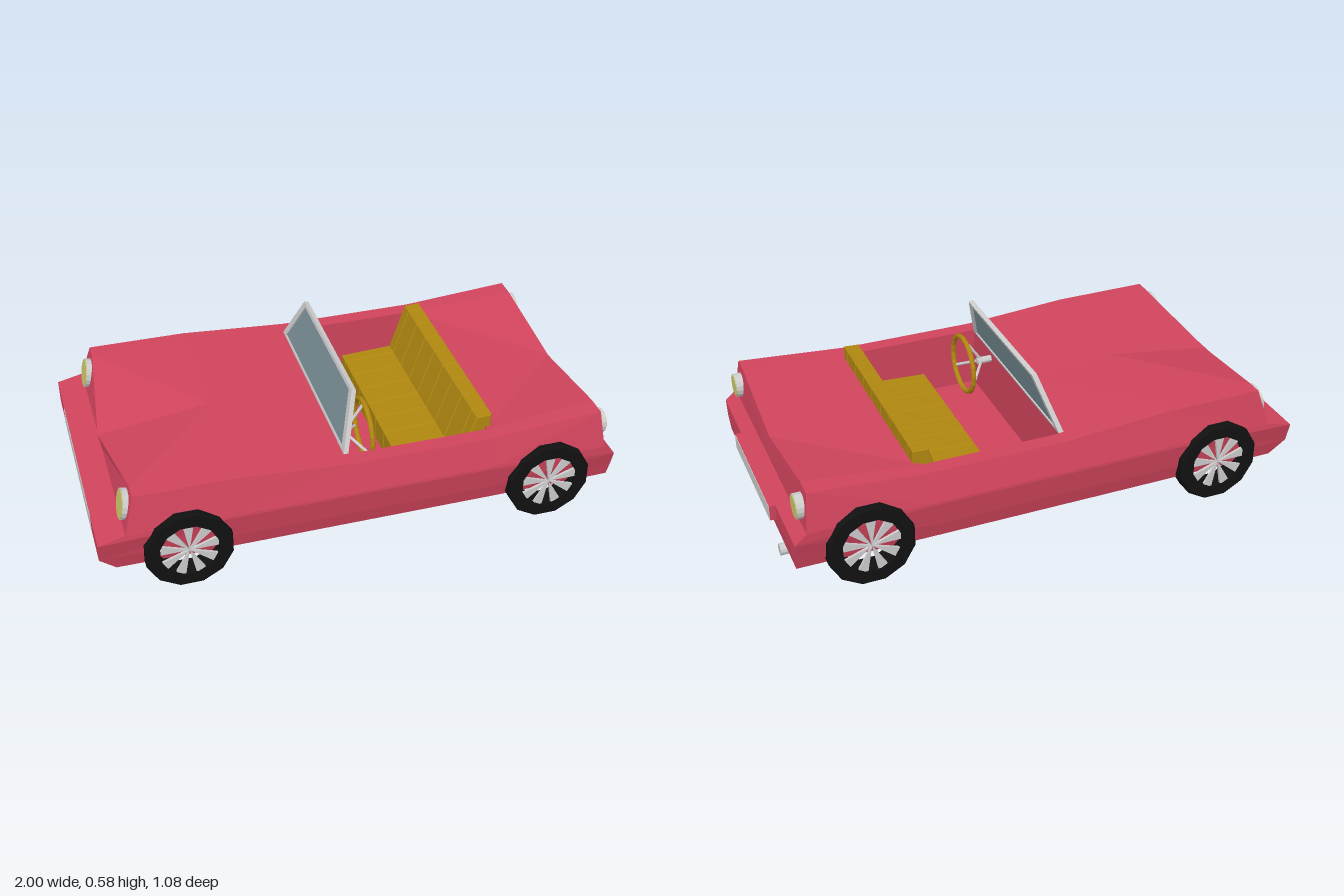
import * as THREE from 'three';

const mat = (color, extra = {}) => new THREE.MeshStandardMaterial({ color, flatShading: true, ...extra });
const RED = mat(0xd0445c, { side: THREE.DoubleSide });
const GREY = mat(0xcccccc);
const BLACK = mat(0x111111);
const MUSTARD = mat(0xaf8710);
const LENS = mat(0xccc870);
const GLASS = mat(0x7c9298);

function add(parent, name, geometry, material, x = 0, y = 0, z = 0) {
  const mesh = new THREE.Mesh(geometry, material);
  mesh.name = name;
  mesh.position.set(x, y, z);
  parent.add(mesh);
  return mesh;
}

// Cylinder between two points
function rod(parent, name, a, b, r, material, sides = 8) {
  const from = new THREE.Vector3(...a), to = new THREE.Vector3(...b);
  const dir = to.clone().sub(from);
  const mesh = add(parent, name, new THREE.CylinderGeometry(r, r, dir.length(), sides), material);
  mesh.position.copy(from).add(to).multiplyScalar(0.5);
  mesh.quaternion.setFromUnitVectors(new THREE.Vector3(0, 1, 0), dir.normalize());
}

// Body shell: half sections along the car, mirrored in z, with an open tub
function bodyGeometry() {
  const pos = [];
  const tri = (a, b, c) => {
    pos.push(...a, ...b, ...c);
    for (const p of [a, c, b]) pos.push(p[0], p[1], -p[2]);
  };
  const quad = (a, b, c, d) => { tri(a, b, c); tri(a, c, d); };
  const mid = (p) => [p[0], p[1], 0];

  // Levels: bottom, sill, waist, ledge, shoulder, crest, deck centre
  const plain = (x, top, centre) => [
    [x, 0.11, 0.495], [x, 0.17, 0.51], [x, 0.265, 0.525], [x, 0.275, 0.524],
    [x, top, 0.49], [x, top, 0.43], [x, centre, 0]];
  const sections = [
    [[-0.94, 0.11, 0.49], [-1, 0.17, 0.505], [-1, 0.25, 0.525], [-0.9, 0.275, 0.522],
      [-0.86, 0.415, 0.49], [-0.86, 0.415, 0.43], [-0.91, 0.34, 0]],
    plain(-0.48, 0.413, 0.4),
    plain(-0.06, 0.383, 0.383),
    plain(0.48, 0.383, 0.38),
    [[0.97, 0.11, 0.49], [0.975, 0.17, 0.505], [0.975, 0.23, 0.522], [0.93, 0.27, 0.522],
      [0.913, 0.415, 0.49], [0.913, 0.415, 0.41], [0.92, 0.355, 0]]];

  for (let s = 0; s < 4; s++) {
    const a = sections[s], b = sections[s + 1];
    for (let i = 0; i < 6; i++) {
      if (s === 2 && i === 5) continue; // cockpit opening
      quad(a[i], b[i], b[i + 1], a[i + 1]);
    }
    quad(mid(a[0]), mid(b[0]), b[0], a[0]); // underside
  }

  // Nose and tail
  for (const [s, flip] of [[sections[0], true], [sections[4], false]]) {
    const face = (a, b, c) => (flip ? tri(a, c, b) : tri(a, b, c));
    for (let i = 0; i < 3; i++) {
      face(mid(s[i]), s[i + 1], s[i]);
      face(mid(s[i]), mid(s[i + 1]), s[i + 1]);
    }
    for (let i = 3; i < 6; i++) face(mid(s[3]), s[i + 1], s[i]);
  }

  // Cockpit tub
  const x0 = -0.06, x1 = 0.48, top = 0.383, floor = 0.14, w = 0.43;
  quad([x0, top, w], [x1, top, w], [x1, floor, w], [x0, floor, w]);
  quad([x0, floor, w], [x1, floor, w], [x1, floor, 0], [x0, floor, 0]);
  quad([x0, top, w], [x0, floor, w], [x0, floor, 0], [x0, top, 0]);
  quad([x1, top, w], [x1, top, 0], [x1, floor, 0], [x1, floor, w]);

  const geo = new THREE.BufferGeometry();
  geo.setAttribute('position', new THREE.Float32BufferAttribute(pos, 3));
  geo.computeVertexNormals();
  return geo;
}

function makeWheel(x, side) {
  const wheel = new THREE.Group();
  wheel.name = 'wheel';
  // Tyre ring
  const profile = [[0.11, -0.04], [0.165, -0.04], [0.165, 0.034], [0.158, 0.04], [0.11, 0.04], [0.11, -0.04]]
    .map(([r, h]) => new THREE.Vector2(r, h));
  const tyre = new THREE.LatheGeometry(profile, 12).rotateX(Math.PI / 2).rotateZ(Math.PI / 12);
  add(wheel, 'tyre', tyre, mat(0x111111, { side: THREE.DoubleSide }));
  // Wedge spokes
  const half = Math.PI / 18, r = 0.113;
  const wedge = new THREE.Shape([
    new THREE.Vector2(0, 0),
    new THREE.Vector2(r * Math.cos(half), -r * Math.sin(half)),
    new THREE.Vector2(r * Math.cos(half), r * Math.sin(half))]);
  const spoke = new THREE.ExtrudeGeometry(wedge, { depth: 0.01, bevelEnabled: false });
  for (let i = 0; i < 9; i++) {
    add(wheel, 'wheelSpoke', spoke, GREY, 0, 0, 0.026).rotation.z = i * Math.PI * 2 / 9 + Math.PI / 2;
  }
  wheel.position.set(x, 0.166, side * 0.5);
  if (side < 0) wheel.rotation.y = Math.PI;
  return wheel;
}

function makeLamp(name, x, y, z, radius, tilt) {
  const lamp = new THREE.Group();
  lamp.name = name;
  add(lamp, 'lampHousing', new THREE.CylinderGeometry(radius, radius, 0.06, 16), GREY);
  add(lamp, 'lampLens', new THREE.CylinderGeometry(radius * 0.92, radius * 0.92, 0.006, 16), LENS, 0, 0.03, 0);
  lamp.rotation.z = tilt;
  lamp.position.set(x, y, z);
  return lamp;
}

// Trapezoid symmetric about its centre line
const trapezoid = (bottom, top, y0, y1) => [[-bottom, y0], [bottom, y0], [top, y1], [-top, y1]]
  .map(([x, y]) => new THREE.Vector2(x, y));

function makeWindscreen() {
  const screen = new THREE.Group();
  screen.name = 'windscreen';
  const extrude = (shape, depth) =>
    new THREE.ExtrudeGeometry(shape, { depth, bevelEnabled: false }).translate(0, 0, -depth / 2).rotateY(Math.PI / 2);
  const frame = new THREE.Shape(trapezoid(0.43, 0.318, 0, 0.214));
  frame.holes.push(new THREE.Path(trapezoid(0.392, 0.295, 0.012, 0.2).reverse()));
  add(screen, 'windscreenFrame', extrude(frame, 0.018), GREY);
  add(screen, 'windscreenGlass', extrude(new THREE.Shape(trapezoid(0.394, 0.297, 0.01, 0.202)), 0.008), GLASS);
  screen.position.set(-0.068, 0.378, 0);
  screen.rotation.z = -0.3;
  return screen;
}

function makeBench() {
  const bench = new THREE.Group();
  bench.name = 'benchSeat';
  const side = new THREE.Shape([[0.175, 0.14], [0.5, 0.14], [0.5, 0.43], [0.447, 0.427], [0.385, 0.24], [0.175, 0.23]]
    .map(([x, y]) => new THREE.Vector2(x, y)));
  // Seven full rolls with a half roll at each end
  let z = -0.412;
  for (let i = 0; i < 9; i++) {
    const width = i === 0 || i === 8 ? 0.052 : 0.103;
    const roll = new THREE.ExtrudeGeometry(side, {
      depth: width - 0.008, bevelThickness: 0.004, bevelSize: 0.004, bevelSegments: 1 });
    add(bench, 'seatRoll', roll, MUSTARD, 0, 0, z + 0.004);
    z += width;
  }
  return bench;
}

function makeSteering() {
  const steering = new THREE.Group();
  steering.name = 'steering';
  const [x, y, z, r] = [0.058, 0.345, 0.245, 0.115];
  add(steering, 'steeringWheel', new THREE.TorusGeometry(r, 0.01, 8, 20).rotateY(Math.PI / 2), MUSTARD, x, y, z);
  const hub = [-0.02, y, z];
  rod(steering, 'steeringColumn', [-0.07, y, z], [0, y, z], 0.014, GREY);
  for (let i = 0; i < 3; i++) {
    const a = i * Math.PI * 2 / 3;
    rod(steering, 'steeringSpoke', hub, [x, y + r * Math.cos(a), z + r * Math.sin(a)], 0.006, GREY, 6);
  }
  return steering;
}

export function createModel() {
  const car = new THREE.Group();
  car.name = 'convertible';
  add(car, 'body', bodyGeometry(), RED);

  for (const side of [1, -1]) {
    car.add(makeWheel(-0.68, side), makeWheel(0.705, side));
    car.add(makeLamp('headLamp', -0.868, 0.337, side * 0.425, 0.058, Math.PI / 2 - 0.2));
    car.add(makeLamp('tailLamp', 0.917, 0.337, side * 0.44, 0.047, -Math.PI / 2));
  }
  car.add(makeWindscreen(), makeBench(), makeSteering());

  // Grille, rear panel and exhaust
  add(car, 'grille', new THREE.BoxGeometry(0.02, 0.07, 0.68), GREY, -0.992, 0.21, 0);
  add(car, 'rearPanelMount', new THREE.BoxGeometry(0.03, 0.06, 0.52), RED, 0.983, 0.2, 0);
  add(car, 'rearPanel', new THREE.BoxGeometry(0.004, 0.056, 0.512), GREY, 0.998, 0.2, 0);
  rod(car, 'exhaust', [0.92, 0.087, -0.33], [0.99, 0.087, -0.33], 0.022, GREY, 12);
  return car;
}
